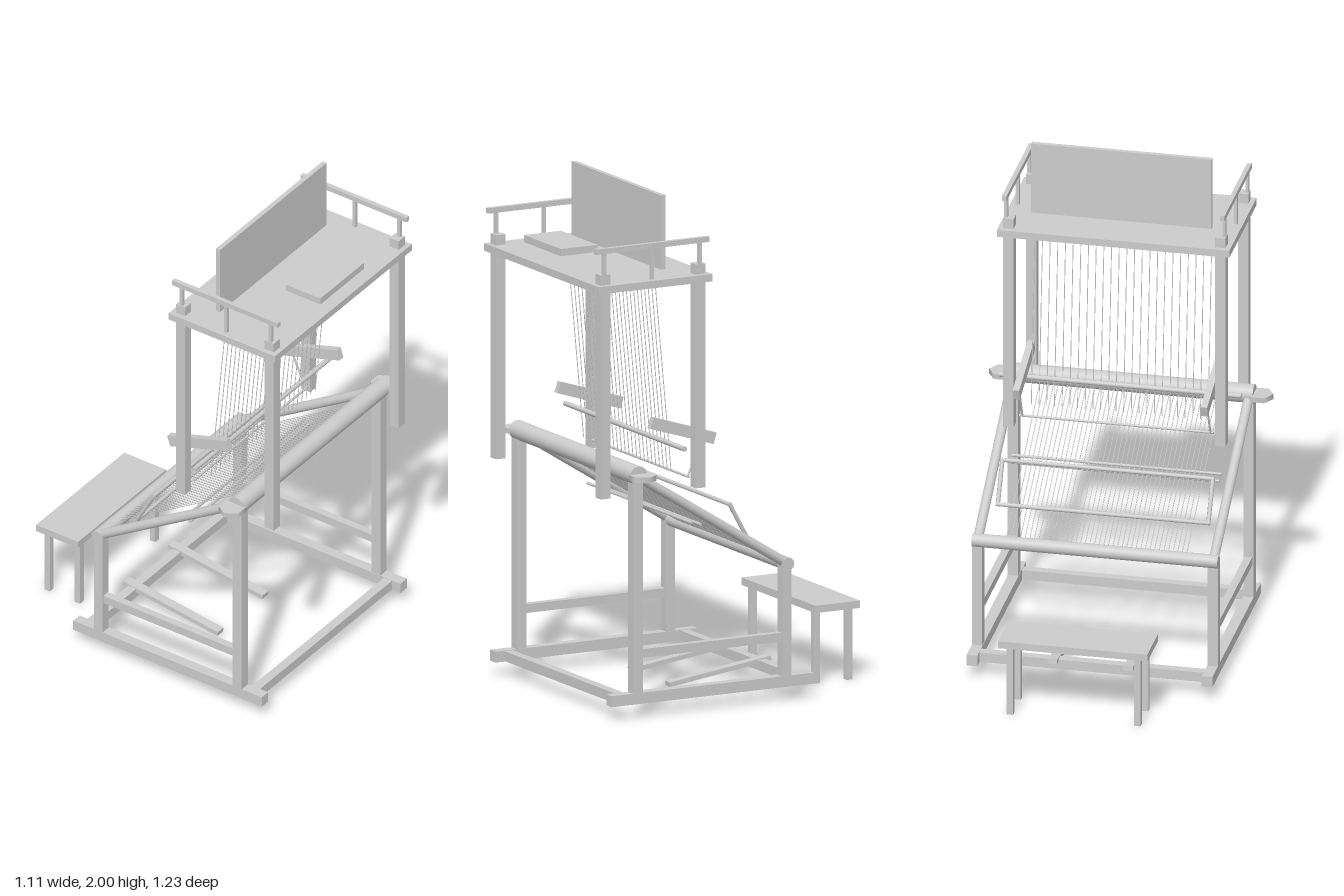
import * as THREE from 'three';

export function createModel() {
  const model = new THREE.Group();
  const mat = new THREE.MeshStandardMaterial({ color: 0xcccccc });
  const V = (x, y, z) => new THREE.Vector3(x, y, z);

  function add(name, geometry, parent = model) {
    const mesh = new THREE.Mesh(geometry, mat);
    mesh.name = name;
    parent.add(mesh);
    return mesh;
  }
  // Box given by its extents on each axis
  function box(name, [x0, x1], [y0, y1], [z0, z1], parent) {
    const m = add(name, new THREE.BoxGeometry(x1 - x0, y1 - y0, z1 - z0), parent);
    m.position.set((x0 + x1) / 2, (y0 + y1) / 2, (z0 + z1) / 2);
    return m;
  }
  // Round bar between two points
  function bar(name, a, b, r, sides = 16, parent) {
    const dir = b.clone().sub(a);
    const m = add(name, new THREE.CylinderGeometry(r, r, dir.length(), sides), parent);
    m.position.copy(a).add(b).multiplyScalar(0.5);
    m.quaternion.setFromUnitVectors(V(0, 1, 0), dir.normalize());
    return m;
  }
  const crossBar = (name, half, y, z, r, sides) => bar(name, V(-half, y, z), V(half, y, z), r, sides);
  const span = (c, w) => [c - w / 2, c + w / 2];

  for (const s of [-1, 1]) {
    const side = s > 0 ? 'left' : 'right';
    const X = (c, w) => span(s * c, w);

    // Base frame sides
    box(side + 'FloorRail', X(0.459, 0.042), [0.055, 0.098], [-0.308, 0.573]);
    box(side + 'FrontPost', X(0.46, 0.04), [0.098, 0.935], [0.437, 0.479]);
    box(side + 'BackPost', X(0.46, 0.04), [0.098, 0.535], [-0.21, -0.171]);
    box(side + 'Stretcher', X(0.46, 0.03), [0.233, 0.267], [-0.18, 0.445]);
    bar(side + 'SlopedRail', V(s * 0.46, 0.943, 0.455), V(s * 0.46, 0.535, -0.197), 0.019);

    // Six-sided knob at the beam end
    const knob = add(side + 'BeamHandle', new THREE.CylinderGeometry(0.0525, 0.0525, 0.021, 6));
    knob.position.set(s * 0.5025, 0.943, 0.45);
    knob.rotation.y = Math.PI / 6;

    // Upper tower posts
    for (const [n, z] of [['Front', 0.575], ['Back', 0.161]])
      box(side + n + 'TowerPost', X(0.414, 0.041), [0.86, 1.735], span(z, 0.042));

    // Handrail and balusters
    box(side + 'Handrail', X(0.426, 0.018), [1.817, 1.838], [0.122, 0.615]);
    for (const z of [0.577, 0.369, 0.161])
      box(side + 'Baluster', X(0.426, 0.013), [1.69, 1.82], span(z, 0.014));

    // Tilted arm with its cord
    const arm = add(side + 'TiltedArm', new THREE.BoxGeometry(0.026, 0.045, 0.288));
    arm.position.set(s * 0.367, 1.077, 0.204);
    arm.rotation.x = -0.31;
    bar(side + 'ArmCord', V(s * 0.367, 1.04, 0.115), V(s * 0.367, 0.895, 0.18), 0.004, 6);

    // Pedal rising towards the back
    const pedal = add(side + 'Pedal', new THREE.BoxGeometry(0.038, 0.018, 0.445));
    pedal.position.set(s * 0.148, 0.068, -0.075);
    pedal.rotation.x = 0.133;

    // Side of the swinging frame
    bar(side + 'FrameSide', V(s * 0.411, 0.777, 0.021), V(s * 0.411, 0.628, -0.062), 0.0085, 8);

    // Bench legs
    for (const z of [-0.443, -0.584])
      box(side + 'BenchLeg', X(0.249, 0.025), [0, 0.285], span(z, 0.025));
  }

  // Cross rails of the base
  box('frontFloorRail', [-0.45, 0.45], [0.057, 0.096], span(0.515, 0.037));
  box('backFloorRail', [-0.45, 0.45], [0.057, 0.096], span(-0.253, 0.037));

  // Beams and rods
  crossBar('frontBeam', 0.48, 0.946, 0.455, 0.037, 24);
  crossBar('backBeam', 0.48, 0.533, -0.197, 0.026, 24);
  crossBar('heddleRod', 0.472, 1.028, 0.25, 0.01, 12);
  crossBar('lowerHeddleRod', 0.38, 0.895, 0.182, 0.005, 8);
  crossBar('upperLeaseRod', 0.41, 0.722, 0.187, 0.006, 8);
  crossBar('lowerLeaseRod', 0.41, 0.711, 0.146, 0.006, 8);
  crossBar('frameTop', 0.418, 0.777, 0.021, 0.0085, 8);
  crossBar('frameBottom', 0.418, 0.628, -0.062, 0.0085, 8);

  // Platform, panel and slab
  box('platform', [-0.454, 0.454], [1.666, 1.695], [0.119, 0.615]);
  box('backPanel', [-0.352, 0.352], [1.71, 2], [0.269, 0.288]);
  box('slab', [-0.145, 0.145], [1.757, 1.785], [0.45, 0.61]);

  // Bench seat
  box('benchSeat', [-0.292, 0.292], [0.283, 0.312], [-0.614, -0.418]);

  // Warp threads along the slope and hanging threads above
  function threads(name, count, half, top, bottom, r) {
    const group = new THREE.Group();
    group.name = name;
    model.add(group);
    for (let i = 0; i < count; i++) {
      const x = -half + (2 * half * i) / (count - 1);
      bar(name + 'Strand', V(x, ...top), V(x, ...bottom), r, 5, group);
    }
  }
  threads('slopedThreads', 40, 0.352, [0.945, 0.455], [0.535, -0.197], 0.0017);
  threads('hangingThreads', 24, 0.345, [1.668, 0.31], [0.92, 0.24], 0.0017);

  return model;
}
